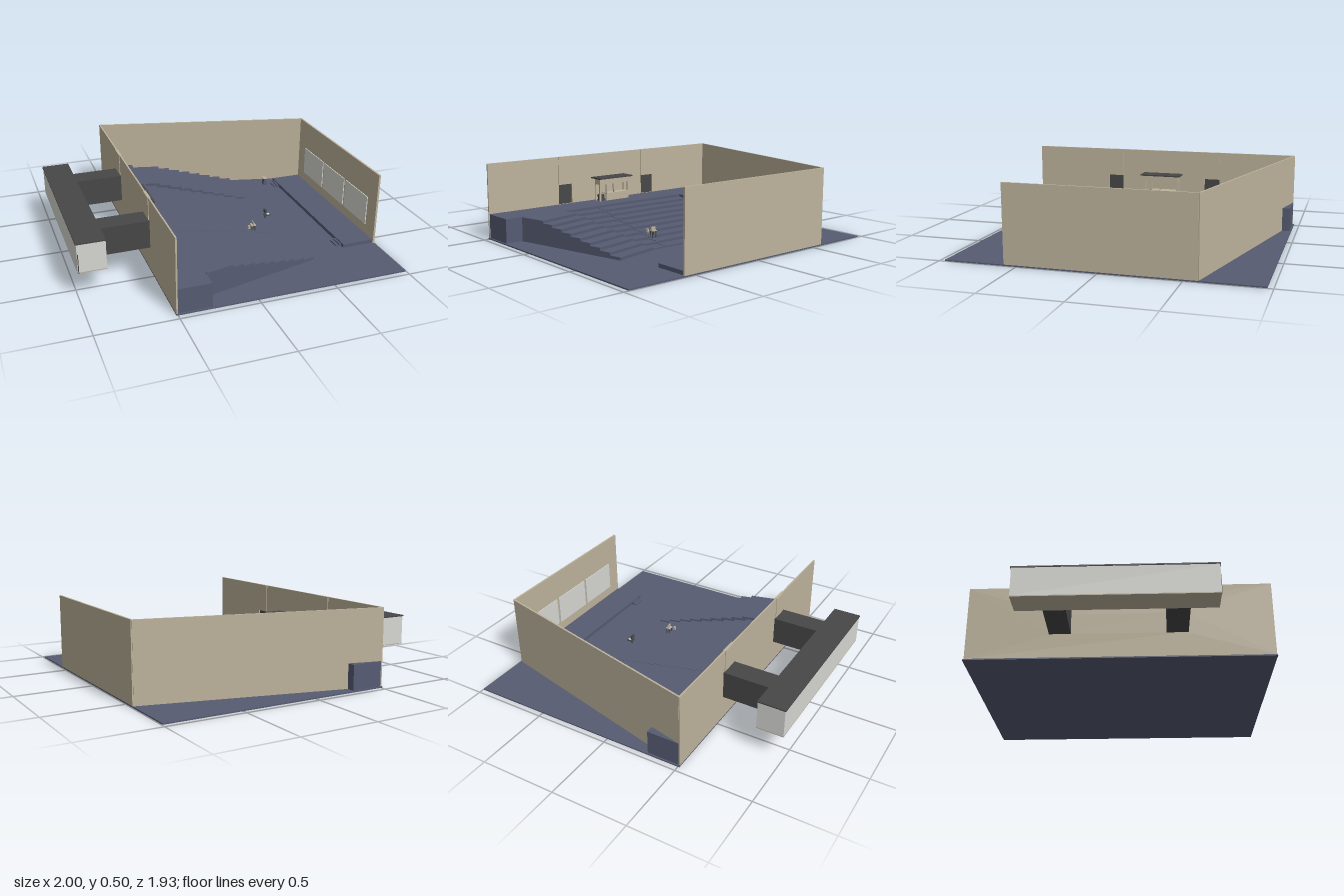
import * as THREE from 'three';

export function createModel() {
  const hall = new THREE.Group();
  hall.name = 'lectureHall';
  const material = (name, color) => Object.assign(new THREE.MeshStandardMaterial({ color }), { name });
  const beige = material('beigeWall', 0xbdb39c);
  const navy = material('navyCarpet', 0x565b72);
  const charcoal = material('charcoal', 0x474747);
  const white = material('offWhite', 0xd6d6d2);

  const add = (name, geometry, mat, parent = hall) => {
    const mesh = new THREE.Mesh(geometry, mat);
    mesh.name = name;
    parent.add(mesh);
    return mesh;
  };
  // Box given by its lower and upper bounds on each axis
  const box = (name, mat, x0, x1, y0, y1, z0, z1, parent) => {
    const mesh = add(name, new THREE.BoxGeometry(x1 - x0, y1 - y0, z1 - z0), mat, parent);
    mesh.position.set((x0 + x1) / 2, (y0 + y1) / 2, (z0 + z1) / 2);
    return mesh;
  };
  const extrude = (shape, depth) => new THREE.ExtrudeGeometry(shape, { depth, bevelEnabled: false });

  const deck = 0.167; // height of the entrance platform
  const wallTop = 0.5;

  // Floor, entrance platform and stage
  box('floor', navy, -0.51, 0.995, 0, 0.008, -0.965, 0.965);
  box('entrancePlatform', navy, -0.5, -0.287, 0.008, deck, -0.955, 0.955);
  box('stage', navy, 0.765, 0.98, 0.008, 0.033, -0.58, 0.573);
  for (const z of [-0.51, 0.5]) {
    box('stageStepLower', navy, 0.73, 0.75, 0.008, 0.016, z - 0.042, z + 0.042);
    box('stageStepUpper', navy, 0.75, 0.766, 0.008, 0.025, z - 0.042, z + 0.042);
  }

  // Entrance wall with two doorways
  const doors = [-0.367, 0.362];
  const wall = new THREE.Shape([[-0.955, 0.008], [0.96, 0.008], [0.96, wallTop], [-0.955, wallTop]]
    .map(p => new THREE.Vector2(...p)));
  for (const z of doors) {
    wall.holes.push(new THREE.Path([[z - 0.055, deck], [z - 0.055, 0.305], [z + 0.055, 0.305], [z + 0.055, deck]]
      .map(p => new THREE.Vector2(...p))));
  }
  const entranceWall = add('entranceWall', extrude(wall, 0.01), beige);
  entranceWall.rotation.y = -Math.PI / 2;
  entranceWall.position.x = -0.5;

  // Slanted side wall
  const from = new THREE.Vector2(-0.505, -0.95), to = new THREE.Vector2(0.988, -0.584);
  const run = to.clone().sub(from);
  const sideWall = add('slantedWall', new THREE.BoxGeometry(run.length(), wallTop - 0.008, 0.012), beige);
  sideWall.position.set((from.x + to.x) / 2, (wallTop + 0.008) / 2, (from.y + to.y) / 2);
  sideWall.rotation.y = -Math.atan2(run.y, run.x);

  // Stage wall with three projection panels
  box('stageWall', beige, 0.982, 0.995, 0.008, wallTop, -0.584, 0.58);
  for (const z of [-0.32, 0, 0.32]) box('screen', white, 0.976, 0.982, 0.1, 0.3, z - 0.15, z + 0.15);

  // Corridors and the panels above their doors
  for (const z of doors) {
    box('corridor', charcoal, -0.82, -0.51, deck, 0.345, z - 0.068, z + 0.068);
    box('corridorRoof', charcoal, -0.82, -0.511, 0.345, 0.352, z - 0.071, z + 0.071);
    box('doorLintel', beige, -0.514, -0.495, 0.305, wallTop, z - 0.055, z + 0.055);
  }

  // Lobby
  box('lobbyFloor', beige, -0.995, -0.82, deck, deck + 0.006, -0.603, 0.598);
  box('lobbyWalls', white, -0.995, -0.82, deck + 0.006, 0.356, -0.603, 0.598);
  box('lobbyRoof', charcoal, -1, -0.818, 0.356, 0.364, -0.607, 0.602);
  box('lobbyEndSeam', charcoal, -0.992, -0.987, deck, 0.29, 0.598, 0.601);

  // Stepped outline: flat at the back, dropping row by row to the front
  const tierShape = (count, tread, back, drop, lower = 0) => {
    const shape = new THREE.Shape();
    shape.moveTo(-back, 0.006);
    shape.lineTo(0, 0.006);
    for (let k = count; k >= 1; k--) {
      const y = deck - drop * k - lower;
      shape.lineTo(-(count - k) * tread, y);
      shape.lineTo(-(count - k + 1) * tread, y);
    }
    if (back > count * tread + 0.001) {
      shape.lineTo(-count * tread, deck - 0.0008);
      shape.lineTo(-back, deck - 0.0008);
    }
    shape.closePath();
    return shape;
  };

  // Centre seating tiers
  const tread = 0.08, rows = 9, frontX = 0.433;
  const centre = add('centreTiers', extrude(tierShape(rows, tread, rows * tread, 0.0165), 0.475), navy);
  centre.position.set(frontX, 0, -0.2375);

  // Angled seating wings
  const angle = 0.237;
  const wingShape = tierShape(8, 0.0785, 0.815, 0.0175);
  for (const side of [-1, 1]) {
    const wing = add('wingTiers', extrude(wingShape, 0.318), navy);
    wing.rotation.y = side * angle;
    if (side < 0) wing.position.set(0.51, 0, -0.65);
    else wing.position.set(0.436, 0, 0.34);
  }

  // Aisle stairs, tapering towards the front
  const innerEdge = x => 0.345 + (frontX - x) * 0.236;
  for (const side of [-1, 1]) {
    for (let k = 1; k <= rows; k++) {
      const x1 = frontX - (rows - k) * tread, x0 = x1 - tread;
      const plan = new THREE.Shape([[x0, -side * 0.2375], [x1, -side * 0.2375],
        [x1, -side * innerEdge(x1)], [x0, -side * innerEdge(x0)]].map(p => new THREE.Vector2(...p)));
      const step = add('aisleStep', extrude(plan, deck - 0.0165 * k - 0.008), navy);
      step.rotation.x = -Math.PI / 2;
      step.position.y = 0.006;
    }
  }

  // Control booth on the entrance platform
  const booth = new THREE.Group();
  booth.name = 'controlBooth';
  hall.add(booth);
  box('boothRoof', charcoal, -0.5, -0.393, 0.326, 0.335, -0.148, 0.143, booth);
  box('boothHeader', beige, -0.425, -0.415, 0.285, 0.326, -0.13, 0.125, booth);
  box('boothCounterFront', beige, -0.425, -0.415, deck, 0.215, -0.13, 0.07, booth);
  box('boothCounter', beige, -0.47, -0.41, 0.215, 0.221, -0.13, 0.07, booth);
  for (const z of [-0.126, 0, 0.065, 0.121]) {
    box('boothPost', beige, -0.427, -0.415, deck, 0.326, z - 0.005, z + 0.005, booth);
  }
  for (const z of [-0.126, 0.121]) {
    box('boothEndHeader', beige, -0.475, -0.42, 0.285, 0.326, z - 0.004, z + 0.004, booth);
    box('boothBackPost', beige, -0.475, -0.465, deck, 0.326, z - 0.004, z + 0.004, booth);
  }
  box('boothCabinet', charcoal, -0.46, -0.425, deck, 0.212, 0.08, 0.115, booth);

  // Lectern
  box('lecternBody', navy, 0.668, 0.692, 0.008, 0.06, -0.562, -0.532);
  box('lecternTop', beige, 0.662, 0.694, 0.06, 0.064, -0.568, -0.528);

  // Projector on its stand
  box('projectorStand', charcoal, 0.452, 0.46, 0.008, 0.055, -0.009, -0.001);
  box('projector', charcoal, 0.444, 0.488, 0.03, 0.036, -0.023, 0.012);
  box('projectorHead', charcoal, 0.446, 0.458, 0.05, 0.075, -0.02, 0.01);
  box('projectorTray', white, 0.462, 0.482, 0.036, 0.039, -0.016, 0.006);

  // Small chair and side table on the seating tiers
  box('chairSeat', beige, 0.255, 0.288, 0.082, 0.088, 0.185, 0.222);
  box('chairBack', beige, 0.268, 0.274, 0.088, 0.11, 0.187, 0.22);
  for (const x of [0.26, 0.282]) for (const z of [0.19, 0.217]) {
    box('chairLeg', charcoal, x - 0.002, x + 0.002, 0.04, 0.082, z - 0.002, z + 0.002);
  }
  box('sideTable', beige, 0.228, 0.244, 0.07, 0.092, 0.215, 0.23);

  return hall;
}
